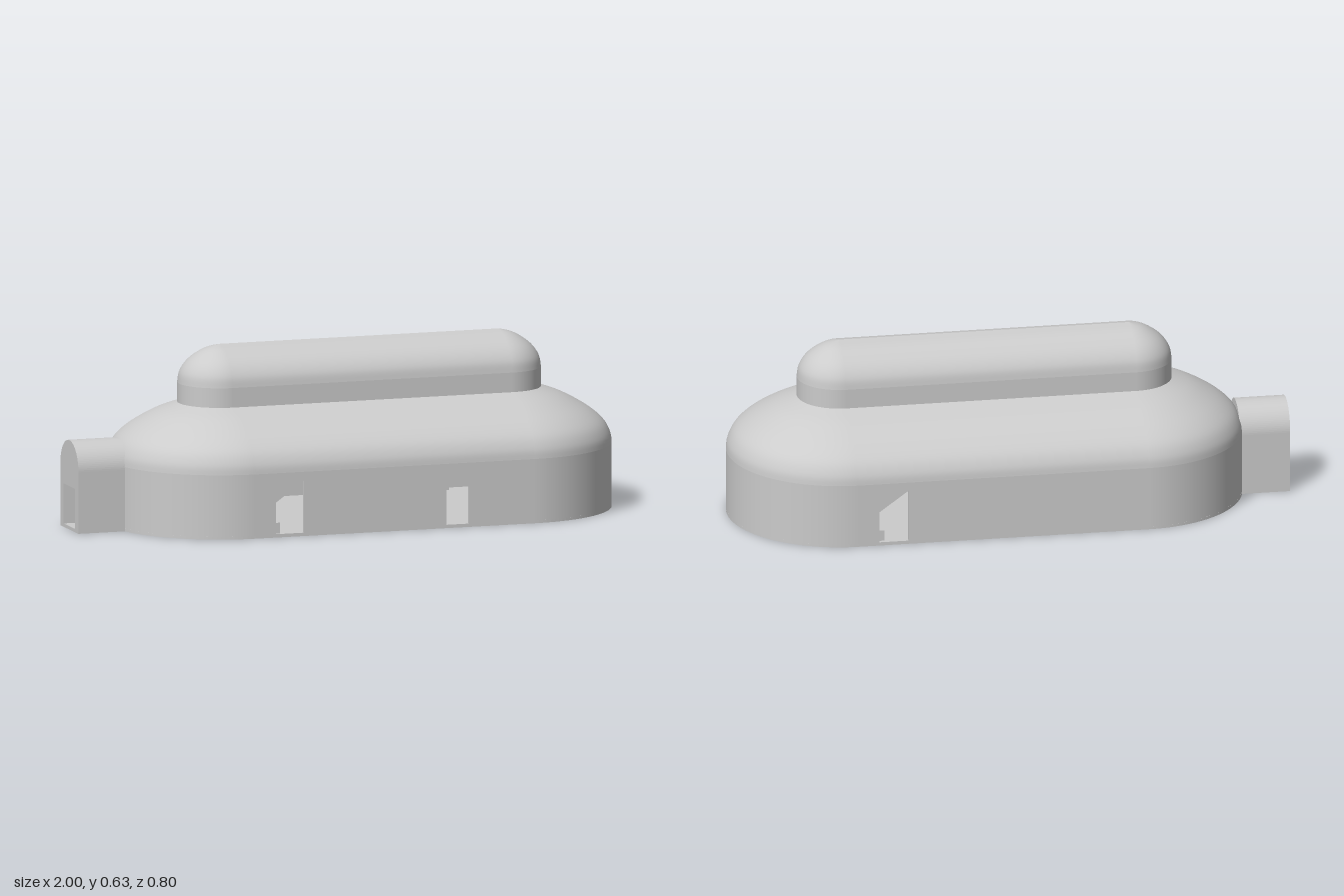
import * as THREE from 'three';

const MID = 0.08, HALF = 0.52; // centre and half length of the straight middle
const grey = new THREE.MeshStandardMaterial({ color: 0xcccccc, side: THREE.DoubleSide });

function add(parent, name, geometry) {
  const mesh = new THREE.Mesh(geometry, grey);
  mesh.name = name;
  parent.add(mesh);
  return mesh;
}

// Round ends: the profile (radius, height) turned half a circle at each end
function roundEnds(parent, name, profile) {
  for (const s of [1, -1]) {
    const end = add(parent, name + 'End', new THREE.LatheGeometry(profile, 40, s > 0 ? 0 : Math.PI, Math.PI));
    end.position.x = s * HALF;
  }
}

// Straight sides: the same profile drawn along x, front and back
function straightSides(parent, name, profile) {
  const n = profile.length;
  for (const turn of [0, Math.PI]) {
    const g = new THREE.PlaneGeometry(2 * HALF, 1, 1, n - 1);
    const p = g.attributes.position;
    for (let i = 0; i < p.count; i++) {
      const q = profile[n - 1 - Math.floor(i / 2)];
      p.setY(i, q.y);
      p.setZ(i, q.x);
    }
    g.computeVertexNormals();
    add(parent, name + 'Side', g.rotateY(turn));
  }
}

const points = (list) => list.map(([x, y]) => new THREE.Vector2(x, y));
const smooth = (list) => new THREE.SplineCurve(points(list)).getPoints(24);

// Flat wall with openings, its outer face at z = 0.4
function wallPanel(parent, name, holes, turn) {
  const shape = new THREE.Shape(points([[-HALF, 0.01], [HALF, 0.01], [HALF, 0.23], [-HALF, 0.23]]));
  shape.holes = holes.map((h) => new THREE.Path(points(h)));
  const g = new THREE.ExtrudeGeometry(shape, { depth: 0.015, bevelEnabled: false });
  g.translate(0, 0, 0.385);
  add(parent, name, g.rotateY(turn));
}

export function createModel() {
  const model = new THREE.Group();
  const hall = new THREE.Group();
  hall.name = 'hall';
  hall.position.x = MID;
  model.add(hall);

  // Thin floor slab
  const plan = new THREE.Shape();
  plan.absarc(HALF, 0, 0.4, -Math.PI / 2, Math.PI / 2, false);
  plan.absarc(-HALF, 0, 0.4, Math.PI / 2, Math.PI * 1.5, false);
  const slab = new THREE.ExtrudeGeometry(plan, { depth: 0.01, bevelEnabled: false, curveSegments: 40 });
  add(hall, 'floorSlab', slab.rotateX(-Math.PI / 2));

  // Lower walls: round ends, and flat panels with the openings
  roundEnds(hall, 'lowerWall', points([[0.4, 0.01], [0.4, 0.23]]));
  const slanted = [[-0.445, 0.012], [-0.34, 0.012], [-0.34, 0.2], [-0.445, 0.125]];
  const door = [[0.19, 0.012], [0.275, 0.012], [0.275, 0.145], [0.19, 0.145]];
  wallPanel(hall, 'frontWall', [slanted, door], 0);
  wallPanel(hall, 'backWall', [slanted], Math.PI);

  // Low step inside each slanted opening
  for (const s of [1, -1]) {
    const step = add(hall, 'entranceStep', new THREE.BoxGeometry(0.02, 0.04, 0.06));
    step.position.set(-0.435 * s, 0.03, 0.355 * s);
  }

  // Curved lower roof
  const roof = smooth([[0.4, 0.23], [0.395, 0.262], [0.376, 0.3], [0.343, 0.333],
    [0.295, 0.366], [0.225, 0.403], [0.15, 0.43]]);
  roundEnds(hall, 'lowerRoof', roof);
  straightSides(hall, 'lowerRoof', roof);

  // Raised upper storey: short wall and ridged roof
  const upperWall = points([[0.15, 0.425], [0.15, 0.5]]);
  const upperRoof = smooth([[0.15, 0.5], [0.144, 0.535], [0.125, 0.568], [0.095, 0.596],
    [0.05, 0.622], [0, 0.635]]);
  for (const [name, profile] of [['upperWall', upperWall], ['upperRoof', upperRoof]]) {
    roundEnds(hall, name, profile);
    straightSides(hall, name, profile);
  }

  // Arched porch with a doorway, running into the round end
  const arch = new THREE.Shape();
  arch.moveTo(-0.1, 0);
  arch.lineTo(0.1, 0);
  arch.lineTo(0.1, 0.22);
  arch.absarc(0, 0.22, 0.1, 0, Math.PI, false);
  arch.lineTo(-0.1, 0);
  arch.holes.push(new THREE.Path(points([[-0.062, 0.012], [0.062, 0.012], [0.062, 0.155], [-0.062, 0.155]])));
  const porch = new THREE.ExtrudeGeometry(arch, { depth: 0.18, bevelEnabled: false, curveSegments: 24 });
  add(model, 'porch', porch.rotateY(Math.PI / 2).translate(-1, 0, 0));

  return model;
}
